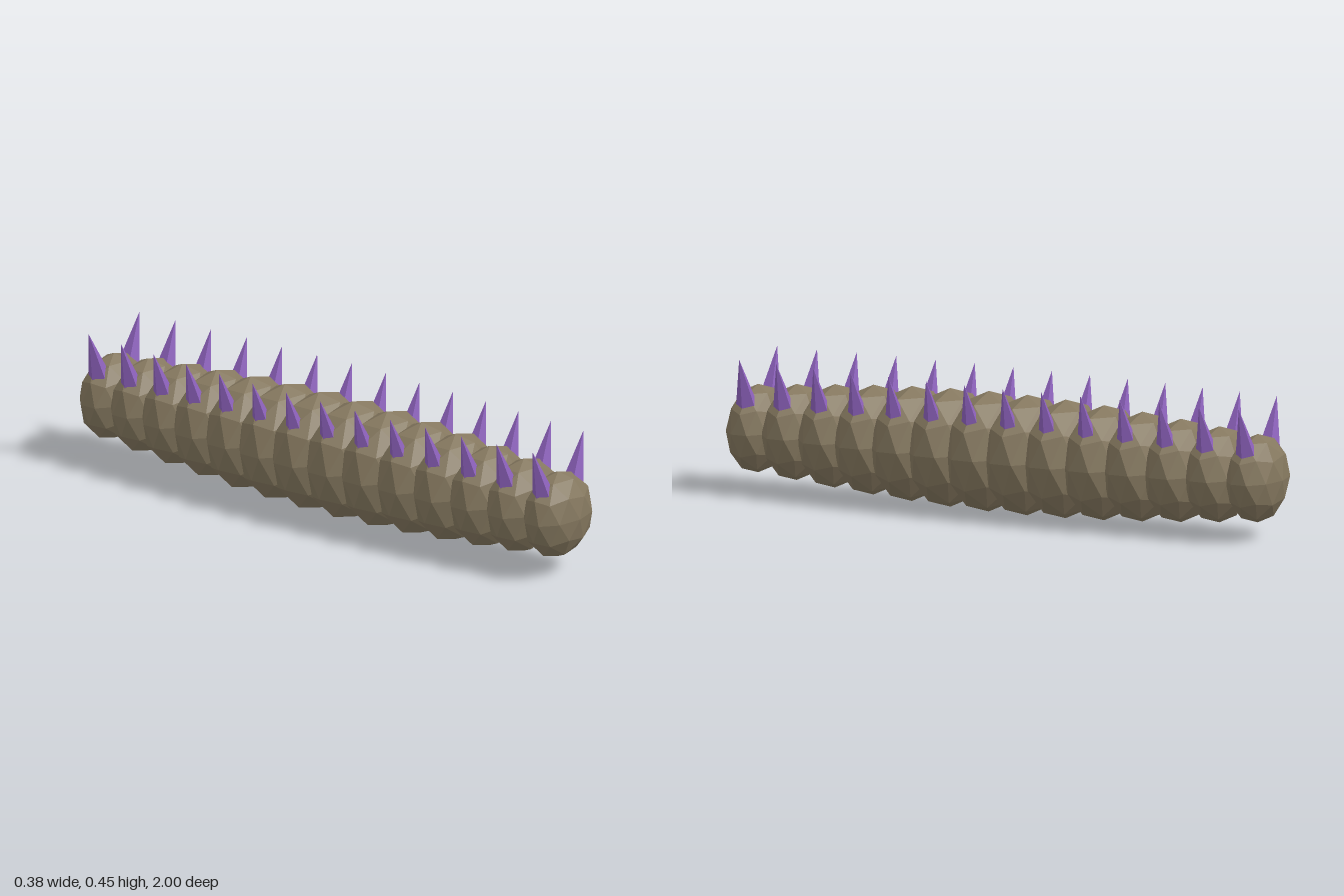
import * as THREE from 'three';

const SEGMENTS = 14;
const SPACING = 0.14;
const CENTRE_Y = 0.199;
const TIP_Y = 0.447;
const SPIKE_LENGTH = 0.175;
const SPIKE_TILT = 0.33;

const bodyMaterial = new THREE.MeshStandardMaterial({ color: 0x85785f });
bodyMaterial.name = 'brown hide';
const spikeMaterial = new THREE.MeshStandardMaterial({ color: 0x8e62bd });
spikeMaterial.name = 'purple spike';

// Faceted ball with a vertex pointing straight up, flattened along z
function makeSegmentGeometry() {
  const geometry = new THREE.IcosahedronGeometry(1, 1);
  geometry.rotateZ(-Math.atan(2 / (1 + Math.sqrt(5))));
  geometry.scale(1, 1, 0.625);
  geometry.computeVertexNormals();
  return geometry;
}

// Five-sided spike with its tip at the origin, leaning outward to one side
function makeSpikeGeometry(side) {
  const geometry = new THREE.ConeGeometry(
    0.0376, SPIKE_LENGTH, 5, 1, false, side * Math.PI / 2
  ).toNonIndexed();
  geometry.translate(0, -SPIKE_LENGTH / 2, 0);
  geometry.rotateZ(-side * SPIKE_TILT);
  geometry.computeVertexNormals();
  return geometry;
}

export function createModel() {
  const model = new THREE.Group();
  model.name = 'spikedWorm';
  const segmentGeometry = makeSegmentGeometry();
  const spikes = [
    { name: 'leftSpike', side: 1, geometry: makeSpikeGeometry(1) },
    { name: 'rightSpike', side: -1, geometry: makeSpikeGeometry(-1) },
  ];

  for (let i = 0; i < SEGMENTS; i++) {
    const z = ((SEGMENTS - 1) / 2 - i) * SPACING;
    // The body swells towards the middle
    const radius = 0.1455 + 0.0533 * Math.sin(Math.PI * i / (SEGMENTS - 1));

    const segment = new THREE.Mesh(segmentGeometry, bodyMaterial);
    segment.name = `bodySegment${i + 1}`;
    segment.scale.setScalar(radius);
    segment.position.set(0, CENTRE_Y, z);
    model.add(segment);

    // A pair of spikes on the shoulders of every segment
    for (const { name, side, geometry } of spikes) {
      const spike = new THREE.Mesh(geometry, spikeMaterial);
      spike.name = `${name}${i + 1}`;
      spike.position.set(side * (0.024 + 0.75 * radius), TIP_Y, z);
      model.add(spike);
    }
  }
  return model;
}
